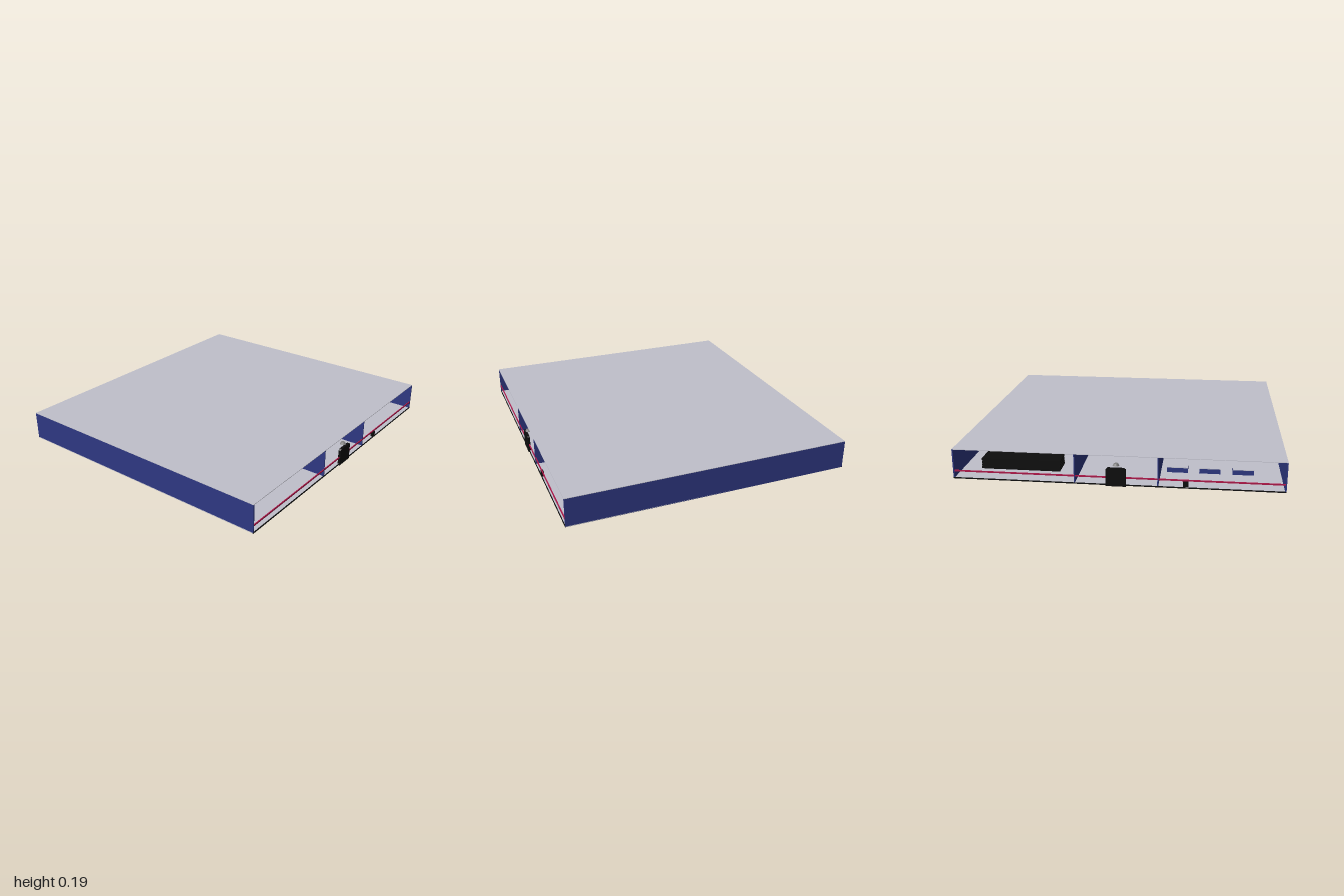
import * as THREE from 'three';

const mat = (name, color) => {
  const m = new THREE.MeshStandardMaterial({ color });
  m.name = name;
  return m;
};

export function createModel() {
  const group = new THREE.Group();
  const plaster = mat('pale plaster', 0xc0c0cb);
  const blue = mat('wall blue', 0x2e3882);
  const black = mat('black', 0x0d0d0d);
  const grey = mat('grey', 0x808080);
  const red = mat('rail red', 0xb0184a);
  const white = mat('white', 0xf8f8f8);

  // Box given by its two extents on every axis
  const box = (name, m, x0, x1, y0, y1, z0, z1) => {
    const mesh = new THREE.Mesh(new THREE.BoxGeometry(x1 - x0, y1 - y0, z1 - z0), m);
    mesh.position.set((x0 + x1) / 2, (y0 + y1) / 2, (z0 + z1) / 2);
    mesh.name = name;
    group.add(mesh);
    return mesh;
  };

  const F = 0.01, T = 0.19, D = 0.915;

  // Shell: floor and roof slabs, outer walls, corridor partitions
  box('floor', plaster, -1, 1, 0.005, F, -D, D);
  box('roof', plaster, -1, 1, T, T + 0.003, -D, D);
  for (const s of [-1, 1]) {
    const side = s < 0 ? 'right' : 'left';
    box(side + 'OuterWall', blue, s * 0.996 - 0.004, s * 0.996 + 0.004, 0.006, T, -D, D);
    box(side + 'Partition', blue, s * 0.25 - 0.003, s * 0.25 + 0.003, F, T, -D, D);
    // Cross wall that splits each wing
    box(side + 'CrossWall', blue, s > 0 ? 0.25 : -0.99, s > 0 ? 0.99 : -0.25, F, T, -0.004, 0.004);
  }

  // Entrance door with clipped upper corners, used at both ends
  const doorShape = new THREE.Shape();
  [[-0.06, 0], [0.06, 0], [0.06, 0.105], [0.05, 0.115], [-0.05, 0.115], [-0.06, 0.105]]
    .forEach(([x, y], i) => (i ? doorShape.lineTo(x, y) : doorShape.moveTo(x, y)));
  doorShape.closePath();
  const doorGeometry = new THREE.ExtrudeGeometry(doorShape, { depth: 0.016, bevelEnabled: false });
  const lampGeometry = new THREE.CylinderGeometry(0.012, 0.02, 0.014, 12);

  for (const s of [-1, 1]) {
    const end = s < 0 ? 'back' : 'front';
    // Red rail and dark sill across the open end
    box(end + 'Rail', red, -0.992, 0.992, 0.05, 0.059, s * 0.912 - 0.003, s * 0.912 + 0.003);
    box(end + 'Sill', black, -1, 1, 0.0045, 0.0115, s * 0.914 - 0.002, s * 0.914 + 0.002);

    const door = new THREE.Mesh(doorGeometry, black);
    door.name = end + 'Door';
    door.position.z = s * 0.912 - 0.008;
    group.add(door);

    const lamp = new THREE.Mesh(lampGeometry, grey);
    lamp.name = end + 'DoorLamp';
    lamp.position.set(0, 0.133, s * 0.9);
    group.add(lamp);

    // Small box beside the entrance
    box(end + 'EntryBox', black, s * 0.415 - 0.016, s * 0.415 + 0.016, 0.014, 0.046,
      s * 0.908 - 0.008, s * 0.908 + 0.008);

    // Small ceiling lights
    for (const x of [-0.58, -0.13, 0.12, 0.27, 0.97])
      box(end + 'CeilingLight', white, x - 0.005, x + 0.005, T - 0.004, T, s * 0.8 - 0.005, s * 0.8 + 0.005);
  }

  // Slatted racks in the left wing: grey at the front, black at the back
  const rack = (name, m, z0, z1) => {
    box(name + 'Body', m, 0.38, 0.86, F, 0.076, z0 + 0.008, z1 - 0.008);
    for (let i = 0; i < 4; i++) {
      const y = 0.014 + i * 0.018;
      box(name + 'Slat', m, 0.37, 0.87, y, y + 0.012, z0, z1);
    }
  };
  rack('frontRack', grey, 0.6, 0.735);
  rack('backRack', black, -0.76, -0.62);

  // Desks in the right wing
  for (const x of [-0.355, -0.555, -0.76]) {
    box('backDesk', blue, x - 0.065, x + 0.065, F, 0.04, -0.685, -0.585);
    box('backDeskTop', plaster, x - 0.065, x + 0.065, 0.04, 0.044, -0.685, -0.585);
  }
  box('frontCounter', grey, -0.42, -0.29, F, 0.045, 0.65, 0.755);
  for (const x of [-0.62, -0.515]) {
    box('middleDesk', blue, x - 0.05, x + 0.05, F, 0.04, 0.25, 0.33);
    box('middleDeskTop', black, x - 0.052, x + 0.052, 0.038, 0.042, 0.248, 0.332);
  }
  box('lowBench', black, -0.83, -0.74, F, 0.028, 0.3, 0.36);
  box('wallCabinet', black, -0.992, -0.968, F, 0.1, 0.4, 0.46);
  box('wallPanel', black, -0.992, -0.97, 0.035, 0.06, 0.81, 0.84);

  // Presentation screens on the cross walls
  box('rightScreen', white, -0.67, -0.575, F, 0.115, 0.006, 0.012);
  box('leftScreen', white, 0.57, 0.67, 0.05, 0.115, 0.006, 0.012);
  box('screenSpeaker', black, 0.57, 0.59, 0.085, 0.097, 0.012, 0.02);
  box('screenSpeaker', black, 0.65, 0.67, 0.085, 0.097, 0.012, 0.02);
  box('screenUnit', grey, 0.605, 0.635, 0.095, 0.105, 0.012, 0.02);

  return group;
}
